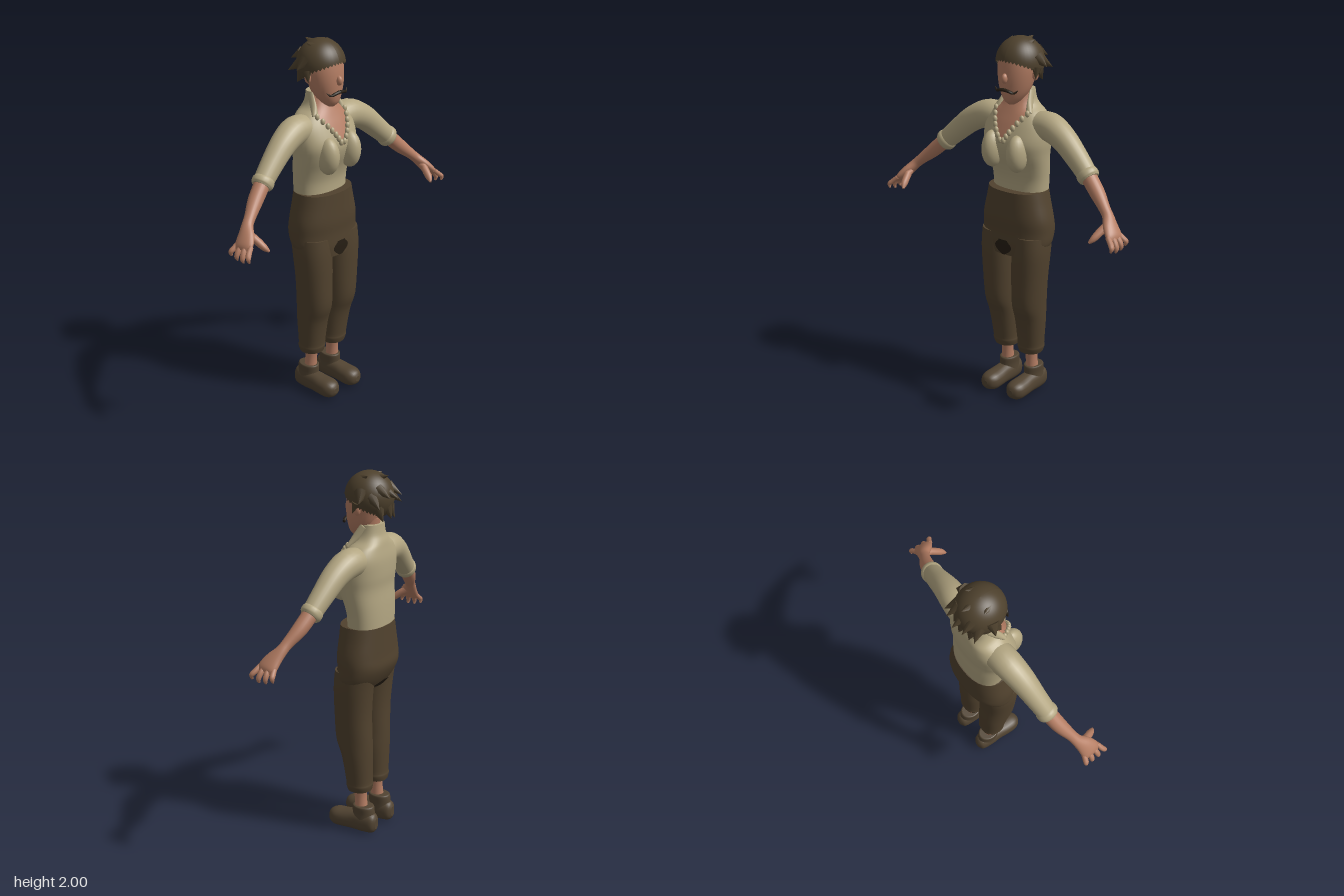
import * as THREE from 'three';

const mat = (name, color, side = THREE.FrontSide) => {
  const m = new THREE.MeshStandardMaterial({ color, side });
  m.name = name;
  return m;
};

// Smoothly subdivides rows of numbers with a Catmull-Rom rule
function smooth(rows, n = 4) {
  const out = [];
  for (let i = 0; i < rows.length - 1; i++) {
    const [p, a, b, q] = [-1, 0, 1, 2].map(k => rows[Math.min(rows.length - 1, Math.max(0, i + k))]);
    for (let j = 0; j < n; j++) {
      const t = j / n;
      out.push(a.map((_, k) => 0.5 * (2 * a[k] + (b[k] - p[k]) * t
        + (2 * p[k] - 5 * a[k] + 4 * b[k] - q[k]) * t * t + (3 * a[k] - p[k] - 3 * b[k] + q[k]) * t ** 3)));
    }
  }
  out.push(rows[rows.length - 1]);
  return out;
}

// Skin through oval sections [x, y, z, radiusA, radiusB]; axis is fixed or follows the path
function loft(rows, { axis = null, power = 2, seg = 24 } = {}) {
  const rings = smooth(rows), pos = [], idx = [];
  const P = r => new THREE.Vector3(r[0], r[1], r[2]);
  const pw = c => Math.sign(c) * Math.abs(c) ** (2 / power);
  const ring = i => {
    const r = rings[i];
    const t = axis ? axis.clone()
      : P(rings[Math.min(i + 1, rings.length - 1)]).sub(P(rings[Math.max(i - 1, 0)])).normalize();
    const v = Math.abs(t.z) > 0.8 ? new THREE.Vector3(0, 1, 0) : new THREE.Vector3(0, 0, 1);
    v.addScaledVector(t, -v.dot(t)).normalize();
    const u = t.clone().cross(v);
    for (let j = 0; j < seg; j++) {
      const a = j / seg * Math.PI * 2;
      pos.push(...P(r).addScaledVector(u, r[3] * pw(Math.cos(a))).addScaledVector(v, r[4] * pw(Math.sin(a))));
    }
  };
  rings.forEach((_, i) => ring(i));
  for (let i = 0; i < rings.length - 1; i++) for (let j = 0; j < seg; j++) {
    const a = i * seg + j, b = i * seg + (j + 1) % seg;
    idx.push(a, b, a + seg, b, b + seg, a + seg);
  }
  for (const end of [0, rings.length - 1]) {
    const s = pos.length / 3;
    ring(end);
    pos.push(...P(rings[end]));
    for (let j = 0; j < seg; j++) {
      const k = (j + 1) % seg;
      end ? idx.push(s + j, s + k, s + seg) : idx.push(s + k, s + j, s + seg);
    }
  }
  // Turn the faces outward
  const V = i => new THREE.Vector3().fromArray(pos, i * 3);
  let vol = 0;
  for (let i = 0; i < idx.length; i += 3) vol += V(idx[i]).dot(V(idx[i + 1]).cross(V(idx[i + 2])));
  if (vol < 0) idx.reverse();
  const g = new THREE.BufferGeometry();
  g.setAttribute('position', new THREE.Float32BufferAttribute(pos, 3));
  g.setIndex(idx);
  g.computeVertexNormals();
  return g;
}

// Thin patch lying on the front (side 1) or back (side -1) of an upright loft
function patch(rows, power, y0, y1, width, side) {
  const rings = smooth(rows).sort((a, b) => a[1] - b[1]);
  const g = new THREE.PlaneGeometry(1, 1, 12, 20), p = g.attributes.position;
  for (let i = 0; i < p.count; i++) {
    const f = p.getY(i) + 0.5, y = y0 + (y1 - y0) * f;
    let k = rings.findIndex(r => r[1] >= y);
    k = k < 1 ? 1 : k;
    const a = rings[k - 1], b = rings[k], t = (y - a[1]) / (b[1] - a[1]);
    const [, , z, rx, rz] = a.map((n, j) => n + (b[j] - n) * t);
    const x = 2 * p.getX(i) * Math.min(width(f), rx * 0.93);
    p.setXYZ(i, x, y, z + side * (0.005 + rz * (1 - Math.abs(x / rx) ** power) ** (1 / power)));
  }
  g.computeVertexNormals();
  return g;
}

export function createModel() {
  const model = new THREE.Group();
  const skin = mat('skin', 0xb47d63), shirt = mat('shirt cloth', 0xb3a682);
  const trouser = mat('trouser cloth', 0x51422e), hairMat = mat('hair', 0x4e412d, THREE.DoubleSide);
  const shoeMat = mat('shoe leather', 0x524432), dark = mat('dark gap', 0x261e14, THREE.DoubleSide);
  const patchSkin = mat('open neck skin', 0xb47d63, THREE.DoubleSide);
  const Y = new THREE.Vector3(0, 1, 0), Z = new THREE.Vector3(0, 0, 1);
  const add = (name, geo, m) => {
    const mesh = new THREE.Mesh(geo, m);
    mesh.name = name;
    model.add(mesh);
    return mesh;
  };
  const ball = (name, m, at, scale) => {
    const b = add(name, new THREE.SphereGeometry(1, 20, 14), m);
    b.position.set(...at);
    b.scale.set(...scale);
  };

  // Shirt body with standing collar and deep open neck
  const torso = [[0, 1.17, -.05, .162, .1], [0, 1.25, -.05, .167, .1], [0, 1.32, -.04, .175, .108],
    [0, 1.4, -.022, .185, .122], [0, 1.47, -.02, .195, .13], [0, 1.55, -.035, .192, .115],
    [0, 1.61, -.045, .155, .095], [0, 1.645, -.05, .105, .082], [0, 1.68, -.052, .083, .066], [0, 1.73, -.058, .072, .054]];
  add('shirtBody', loft(torso, { axis: Y, power: 2.3, seg: 40 }), shirt);
  add('openNeck', patch(torso, 2.3, 1.465, 1.73, f => 0.1 * Math.min(1, f * 1.7) ** 0.9, 1), patchSkin);

  // Trouser seat, torn at the crotch
  const hips = [[0, 1.195, -.03, .17, .125], [0, 1.13, -.03, .185, .128], [0, 1.04, -.03, .207, .132],
    [0, .97, -.033, .211, .132], [0, .9, -.018, .205, .119], [0, .84, 0, .165, .098]];
  add('trouserSeat', loft(hips, { axis: Y, power: 2.3, seg: 40 }), trouser);
  add('frontTear', patch(hips, 2.3, .842, .925, f => 0.01 + 0.045 * Math.sin(Math.min(1, f * 1.1) * Math.PI * 0.85), 1), dark);
  add('backTear', patch(hips, 2.3, .845, .885, f => 0.075 * Math.sin(f * Math.PI), -1), dark);

  // Head and neck
  add('neck', loft([[0, 1.58, -.03, .06, .06], [0, 1.66, -.035, .052, .052], [0, 1.76, -.04, .055, .058]], { axis: Y }), skin);
  add('head', loft([[0, 1.655, .025, .018, .02], [0, 1.68, .015, .048, .055], [0, 1.73, 0, .08, .08], [0, 1.8, -.012, .1, .096],
    [0, 1.87, -.03, .108, .108], [0, 1.93, -.038, .095, .1], [0, 1.975, -.04, .05, .05]], { axis: Y, seg: 32 }), skin);
  ball('nose', skin, [0, 1.8, .085], [.016, .026, .02]);

  // Hair cap: low at the nape, high over the brow
  const cap = new THREE.SphereGeometry(1, 40, 18), p = cap.attributes.position, uv = cap.attributes.uv;
  for (let i = 0; i < p.count; i++) {
    const phi = uv.getX(i) * Math.PI * 2;
    const th = (1 - uv.getY(i)) * (112 - 28 * Math.cos(phi)) * Math.PI / 180;
    p.setXYZ(i, .125 * Math.sin(th) * Math.sin(phi), 1.87 + .13 * Math.cos(th), -.04 + .13 * Math.sin(th) * Math.cos(phi));
  }
  cap.computeVertexNormals();
  add('hairCap', cap, hairMat);
  const lock = (from, to, r) => {
    const a = new THREE.Vector3(...from), d = new THREE.Vector3(...to).sub(a);
    const c = add('hairLock', new THREE.ConeGeometry(r, d.length(), 8), hairMat);
    c.position.copy(a).addScaledVector(d, 0.5);
    c.quaternion.setFromUnitVectors(Y, d.normalize());
  };
  lock([0, 1.91, -.12], [0, 1.87, -.21], .035);
  lock([0, 1.84, -.13], [0, 1.76, -.17], .04);
  lock([0, 1.96, -.08], [0, 1.985, -.15], .03);

  for (const s of [1, -1]) {
    const side = s > 0 ? 'left' : 'right';
    const mir = rows => rows.map(r => [r[0] * s, ...r.slice(1)]);
    const limb = (name, rows, m, opt) => add(side + name, loft(mir(rows), opt), m);

    // Hair locks, ear and moustache half
    lock([s * .05, 1.92, -.12], [s * .06, 1.88, -.195], .032);
    lock([s * .08, 1.88, -.1], [s * .115, 1.83, -.165], .035);
    lock([s * .05, 1.82, -.12], [s * .06, 1.755, -.155], .035);
    lock([s * .1, 1.9, -.05], [s * .155, 1.855, -.065], .04);
    lock([s * .115, 1.85, -.03], [s * .125, 1.795, -.01], .025);
    lock([s * .05, 1.96, -.03], [s * .075, 1.985, -.07], .03);
    ball(side + 'Ear', skin, [s * .108, 1.815, -.03], [.014, .03, .02]);
    limb('Moustache', [[0, 1.742, .092, .009, .012], [.03, 1.738, .09, .008, .01],
      [.055, 1.73, .08, .006, .008], [.075, 1.745, .07, .002, .002]], dark, { seg: 8 });

    // Loose shirt front, with a ragged lapel along the opening
    ball(side + 'ShirtFold', shirt, [s * .083, 1.415, .085], [.053, .1, .068]);
    for (let i = 0; i < 7; i++) {
      const f = i / 6;
      ball(side + 'LapelFray', shirt, [s * (.012 + .092 * f), 1.48 + .14 * f, .113 - .083 * f * f],
        [.013, .018, .012]);
    }
    limb('CollarFlap', [[.105, 1.62, .018, .02, .014], [.09, 1.665, -.01, .012, .02], [.075, 1.725, -.045, .006, .018]], shirt);

    // Sleeve with rolled cuff, then forearm and palm
    limb('Sleeve', [[.1, 1.545, -.04, .07, .075], [.2, 1.555, -.035, .077, .076], [.3, 1.515, -.02, .068, .068],
      [.4, 1.435, -.005, .06, .058], [.485, 1.358, .01, .052, .051]], shirt);
    limb('Cuff', [[.46, 1.383, .006, .05, .05], [.47, 1.373, .008, .058, .057], [.485, 1.358, .01, .058, .057],
      [.495, 1.349, .012, .05, .05]], shirt);
    limb('Forearm', [[.46, 1.385, .005, .042, .042], [.55, 1.3, .03, .039, .04], [.62, 1.238, .06, .029, .03],
      [.655, 1.205, .075, .027, .032], [.69, 1.165, .1, .027, .048], [.72, 1.13, .115, .023, .055], [.735, 1.112, .12, .012, .045]], skin);

    // Four spread fingers and a forward thumb
    for (let i = 0; i < 4; i++) {
      const z = .073 + i * .029, e = z + (i - 1.5) * .012 + .006, l = [.012, 0, -.002, .01][i];
      limb('Finger', [[.715, 1.135, z, .013, .013], [.742, 1.11, (z + e) / 2, .014, .015],
        [.757, 1.083 + l, e, .012, .013], [.752, 1.062 + l, e, .005, .006]], skin, { seg: 10 });
    }
    limb('Thumb', [[.675, 1.18, .095, .022, .022], [.66, 1.15, .14, .021, .02],
      [.645, 1.118, .18, .017, .018], [.632, 1.098, .203, .006, .006]], skin, { seg: 12 });

    // Trouser leg with turned hem, ankle and shoe
    limb('TrouserLeg', [[.105, .95, -.018, .098, .11], [.105, .85, -.006, .1, .106], [.1, .7, 0, .094, .1],
      [.095, .55, -.004, .087, .099], [.091, .45, -.02, .083, .083], [.087, .31, -.03, .073, .07],
      [.086, .28, -.032, .074, .071], [.085, .25, -.033, .065, .064]], trouser, { axis: Y, power: 2.2, seg: 32 });
    limb('Ankle', [[.088, .1, -.045, .036, .04], [.086, .2, -.038, .032, .034], [.085, .28, -.035, .038, .042]], skin, { axis: Y });
    limb('Shoe', [[.09, .06, -.14, .018, .03], [.09, .062, -.12, .042, .055], [.09, .062, -.06, .05, .06],
      [.09, .06, 0, .05, .056], [.09, .056, .06, .056, .052], [.09, .054, .11, .055, .05],
      [.09, .054, .142, .038, .037], [.09, .054, .155, .015, .016]], shoeMat, { axis: Z, power: 2.3 });
    limb('ShoeCuff', [[.09, .06, -.058, .05, .07], [.088, .11, -.058, .047, .066], [.087, .15, -.055, .05, .063],
      [.087, .157, -.055, .044, .055]], shoeMat, { axis: Y });
  }
  return model;
}
